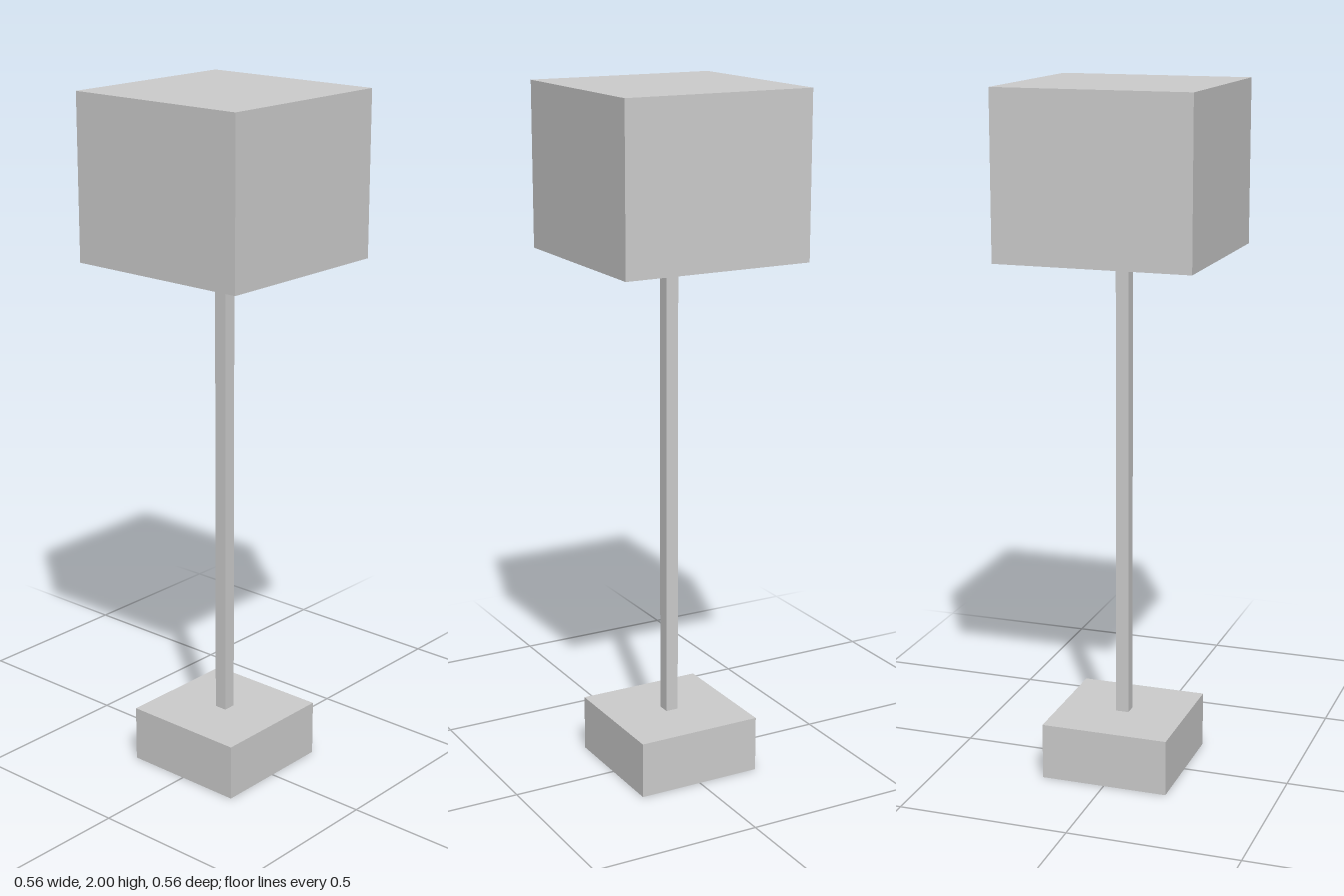
import * as THREE from 'three';

export function createModel() {
  const lamp = new THREE.Group();
  lamp.name = 'floorLamp';
  const material = new THREE.MeshStandardMaterial({ color: 0xcccccc, flatShading: true });

  // Square block of a given width, spanning bottom to top
  const addBlock = (name, width, bottom, top) => {
    const mesh = new THREE.Mesh(new THREE.BoxGeometry(width, top - bottom, width), material);
    mesh.name = name;
    mesh.position.y = (bottom + top) / 2;
    lamp.add(mesh);
  };

  addBlock('base', 0.376, 0, 0.165);
  addBlock('pole', 0.038, 0.165, 1.53);
  addBlock('shade', 0.564, 1.53, 2);

  return lamp;
}
